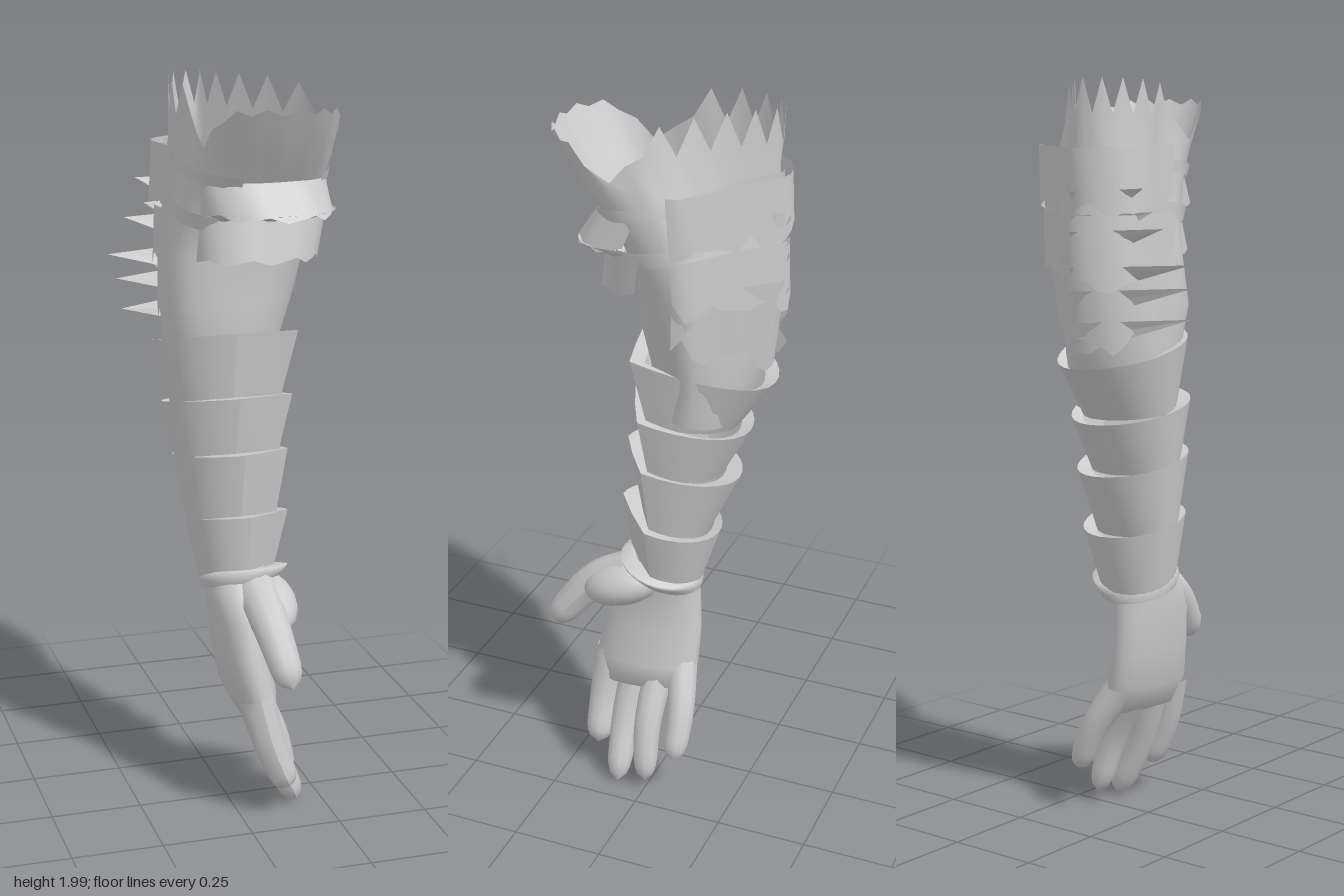
import * as THREE from 'three';

const TAU = Math.PI * 2;
const lerp = THREE.MathUtils.lerp;

export function createModel() {
  const group = new THREE.Group();
  const grey = new THREE.MeshStandardMaterial({ color: 0xcccccc, side: THREE.DoubleSide });
  grey.name = 'pale grey';

  let seed = 7;
  const rand = () => (seed = (seed * 16807) % 2147483647) / 2147483647;

  function add(name, geometry, parent = group) {
    const mesh = new THREE.Mesh(geometry, grey);
    mesh.name = name;
    parent.add(mesh);
    return mesh;
  }

  // Surface through rows of points listed bottom to top
  function loft(rows, closed = false) {
    const n = rows[0].length, index = [];
    for (let i = 0; i < rows.length - 1; i++) {
      for (let j = 0; j < (closed ? n : n - 1); j++) {
        const k = (j + 1) % n;
        const a = i * n + j, b = i * n + k, c = a + n, d = b + n;
        index.push(a, b, c, b, d, c);
      }
    }
    const g = new THREE.BufferGeometry().setFromPoints(rows.flat());
    g.setIndex(index);
    g.computeVertexNormals();
    return g;
  }

  // Point on an oval section [yFront, yBack, xMin, xMax, zFront, zBack, skew, shift];
  // angle 0 is the front, growing to +x; shift flattens the back +x side and fills the front -x side
  function ovalPoint([yF, yB, x0, x1, zF, zB, skew = 0, shift = 0], a) {
    const s = Math.sin(a), c = Math.cos(a);
    const m = shift * Math.max(0, -2 * s * c);
    return new THREE.Vector3(
      (x0 + x1) / 2 + (x1 - x0) / 2 * s + skew * c - 0.82 * m,
      lerp(yB, yF, (c + 1) / 2),
      (zF + zB) / 2 + (zF - zB) / 2 * c + 0.57 * m);
  }

  // Loft of oval sections; the warp may move any vertex
  function band(sections, { from = 0, to = TAU, steps = 28, warp } = {}) {
    const closed = to - from > TAU - 1e-6;
    const rows = sections.map((s, i) =>
      Array.from({ length: closed ? steps : steps + 1 }, (_, j) => {
        const p = ovalPoint(s, lerp(from, to, j / steps));
        if (warp) warp(p, i, j);
        return p;
      }));
    return loft(rows, closed);
  }

  // Rounded, tapering tube for the fingers
  function digit(points, r0, r1) {
    const curve = new THREE.CatmullRomCurve3(points.map(p => new THREE.Vector3(...p)));
    const rings = 16, sides = 10;
    const g = new THREE.TubeGeometry(curve, rings, 1, sides);
    const pos = g.attributes.position, v = new THREE.Vector3();
    for (let i = 0; i <= rings; i++) {
      const t = i / rings, centre = curve.getPointAt(t);
      const end = t > 0.8 ? Math.sqrt(Math.max(0, 1 - ((t - 0.8) / 0.2) ** 2)) : 1;
      for (let j = 0; j <= sides; j++) {
        const k = i * (sides + 1) + j;
        v.fromBufferAttribute(pos, k).sub(centre).multiplyScalar(lerp(r0, r1, t) * end).add(centre);
        pos.setXYZ(k, v.x, v.y, v.z);
      }
    }
    g.computeVertexNormals();
    return g;
  }

  // Sleeve with bulging elbow, notched sides, a leaning front flap and a torn back rim
  add('sleeve', band([
    [1.18, 1.14, -0.13, 0.15, 0.02, -0.20],
    [1.30, 1.27, -0.135, 0.17, 0.03, -0.26, 0, 0.02],
    [1.42, 1.40, -0.14, 0.205, 0.04, -0.29, 0.02, 0.05],
    [1.55, 1.53, -0.13, 0.235, 0.03, -0.31, 0.04, 0.06],
    [1.65, 1.65, -0.11, 0.245, 0.05, -0.30, 0.06, 0.065],
    [1.74, 1.76, -0.10, 0.25, 0.10, -0.295, 0.07, 0.065],
    [1.81, 1.84, -0.09, 0.25, 0.16, -0.29, 0.075, 0.06],
    [1.94, 1.95, -0.085, 0.245, 0.235, -0.30, 0.08, 0.06]], {
    steps: 40,
    warp(p, i, j) {
      if (i < 7) return;
      const notch = Math.exp(-(((p.z - 0.06) / 0.08) ** 2));
      const tooth = p.z < -0.05 ? 0.045 : 0.008;
      p.y += (j % 2 ? tooth : -tooth) - 0.1 * notch;
    },
  }));

  // Straps rising towards the back of the sleeve
  const straps = [
    [[1.61, 1.69, -0.12, 0.255, 0.06, -0.31, 0.06, 0.065], [1.65, 1.73, -0.12, 0.26, 0.08, -0.312, 0.06, 0.065]],
    [[1.73, 1.80, -0.105, 0.26, 0.11, -0.30, 0.07, 0.065], [1.76, 1.83, -0.105, 0.26, 0.13, -0.302, 0.07, 0.065]],
  ];
  straps.forEach(s => add('sleeveStrap', band(s, { from: 0.5, to: TAU - 0.5 })));

  // Folded flaps across the front of the sleeve
  const flaps = [
    [[1.66, 1.68, -0.08, 0.25, 0.17, -0.20, 0.07, 0.05], [1.75, 1.75, -0.085, 0.25, 0.115, -0.20, 0.06, 0.05]],
    [[1.545, 1.54, -0.085, 0.23, 0.12, -0.18, 0.05, 0.05], [1.67, 1.66, -0.085, 0.26, 0.09, -0.20, 0.06, 0.05]],
    [[1.64, 1.66, -0.085, 0.25, 0.05, -0.20, 0.05, 0.05], [1.67, 1.68, -0.08, 0.26, 0.165, -0.20, 0.07, 0.05]],
  ];
  flaps.forEach(f => add('frontFlap', band(f, {
    from: -1.35, to: 1.4, steps: 14,
    warp(p, i, j) { if (i === 0) p.y += (j % 3 - 1) * 0.008; },
  })));

  // Ragged cloth layers hanging over the elbow: [hem front, hem back, top, xMax, skew]
  [[1.54, 1.29, 1.55, 0.22, 0.03], [1.56, 1.47, 1.65, 0.24, 0.05], [1.70, 1.66, 1.82, 0.255, 0.07]]
    .forEach(([hemF, hemB, top, x1, skew]) => add('tornCloth', band([
      [hemF, hemB, -0.14, x1, 0.04, hemB < 1.4 ? -0.285 : -0.32, skew, 0.055],
      [top + 0.01, top, -0.135, x1 + 0.01, 0.05, -0.316, skew, 0.055],
    ], {
      from: 1.4, to: 5.0, steps: 20,
      warp(p, i) { if (i === 0) p.y += (rand() - 0.5) * 0.06; },
    })));

  // Long pointed shards sweeping from the back of the elbow to the right
  const shards = [
    [1.72, -0.18, -0.25], [1.62, -0.22, -0.22], [1.53, -0.275, -0.18],
    [1.47, -0.26, -0.15], [1.39, -0.25, -0.14], [1.66, -0.17, -0.20]];
  const shardGroup = new THREE.Group();
  shardGroup.name = 'shards';
  group.add(shardGroup);
  shards.forEach(([y, x, z]) => {
    const g = new THREE.BufferGeometry().setFromPoints([
      new THREE.Vector3(0.0, y - 0.05, -0.30),
      new THREE.Vector3(x, y, z),
      new THREE.Vector3(0.0, y - 0.01, -0.325),
      new THREE.Vector3(-0.08, y - 0.06, -0.24)]);
    g.setIndex([0, 1, 2, 0, 3, 1]);
    const flat = g.toNonIndexed();
    flat.computeVertexNormals();
    add('shard', flat, shardGroup);
  });

  // Overlapping flared armour bands: [bottom, top], each [yFront, yBack, xMin, xMax, zFront, zBack, zCorner]
  const plates = [
    [[1.15, 1.12, -0.13, 0.15, 0.035, -0.20, 0.0], [1.35, 1.26, -0.17, 0.19, 0.07, -0.30, 0.03]],
    [[1.00, 0.97, -0.125, 0.145, 0.05, -0.16, 0.0], [1.18, 1.11, -0.155, 0.18, 0.09, -0.235, 0.015]],
    [[0.83, 0.80, -0.10, 0.14, 0.07, -0.13, 0.0], [1.03, 0.97, -0.13, 0.17, 0.11, -0.21, 0.01]],
    [[0.68, 0.62, -0.07, 0.13, 0.095, -0.10, 0.0], [0.86, 0.80, -0.105, 0.175, 0.12, -0.16, 0.0]],
  ];
  // The outline has a flat facet from the front seam to a sharp +x corner, then curves round the back
  const outline = ([yF, yB, x0, x1, zF, zB, zC]) => {
    const cx = (x0 + x1) / 2;
    const at = (x, z) => new THREE.Vector3(x, lerp(yB, yF, (z - zB) / (zF - zB)), z);
    const arc = Array.from({ length: 9 }, (_, i) => i / 8 * Math.PI / 2);
    const facet = [at(cx, zF), at(lerp(cx, x1, 0.5), lerp(zF, zC, 0.45)), at(x1, zC)];
    const side = arc.map(u => at(cx + (x1 - cx) * Math.cos(u), zC - (zC - zB) * Math.sin(u)));
    const wrap = arc.flatMap(u => [u, u + Math.PI / 16]).concat(Math.PI).slice(0, 17)
      .map((_, i) => i / 16 * Math.PI)
      .map(u => at(cx - (cx - x0) * Math.sin(u), (zF + zB) / 2 - (zF - zB) / 2 * Math.cos(u)));
    return [facet, side, wrap];
  };
  plates.forEach(([bottom, top], i) => {
    const plate = new THREE.Group();
    plate.name = 'forearmPlate' + (i + 1);
    group.add(plate);
    // The rim closes inward onto the plate above
    const above = i ? plates[i - 1][0] : [0, 0, -0.135, 0.165, 0.03, -0.265, 0.0];
    const low = outline(bottom), high = outline(top);
    const inner = outline([top[0] - 0.01, top[1] - 0.01, ...above.slice(2)]);
    high.forEach((row, k) => {
      add('plateWall', loft([low[k], row]), plate);
      add('plateRim', loft([row, inner[k]]), plate);
    });
  });

  // Thin cuff at the wrist
  add('wristCuff', band([
    [0.66, 0.61, -0.07, 0.13, 0.10, -0.105], [0.685, 0.63, -0.075, 0.15, 0.115, -0.11],
    [0.71, 0.65, -0.07, 0.17, 0.11, -0.105], [0.70, 0.66, -0.04, 0.10, 0.08, -0.08]]));

  // Palm, facing +x
  add('palm', band([
    [0.27, 0.29, 0.05, 0.07, 0.14, -0.06],
    [0.285, 0.31, 0.01, 0.115, 0.18, -0.085],
    [0.36, 0.37, -0.025, 0.115, 0.195, -0.105],
    [0.47, 0.47, -0.045, 0.09, 0.175, -0.105],
    [0.57, 0.57, -0.055, 0.09, 0.165, -0.10],
    [0.64, 0.63, -0.06, 0.10, 0.13, -0.095],
    [0.70, 0.68, -0.055, 0.11, 0.08, -0.09]]));
  const mound = add('thumbMound', new THREE.SphereGeometry(1, 16, 12));
  mound.scale.set(0.08, 0.06, 0.12);
  mound.position.set(0.085, 0.61, 0.10);
  mound.rotation.x = 0.35;

  // Thumb and fingers, curling towards +x
  add('thumb', digit([[0.06, 0.64, 0.08], [0.065, 0.585, 0.19], [0.09, 0.44, 0.315]], 0.06, 0.04));
  add('indexFinger', digit([[0.04, 0.36, 0.15], [0.075, 0.22, 0.165], [0.13, 0.085, 0.165]], 0.05, 0.038));
  add('middleFinger', digit([[0.04, 0.36, 0.07], [0.10, 0.18, 0.09], [0.18, 0.005, 0.085]], 0.048, 0.034));
  add('ringFinger', digit([[0.045, 0.36, 0.0], [0.13, 0.2, 0.01], [0.18, 0.03, 0.0]], 0.046, 0.032));
  add('littleFinger', digit([[0.045, 0.37, -0.06], [0.12, 0.25, -0.085], [0.18, 0.12, -0.085]], 0.044, 0.032));

  return group;
}
